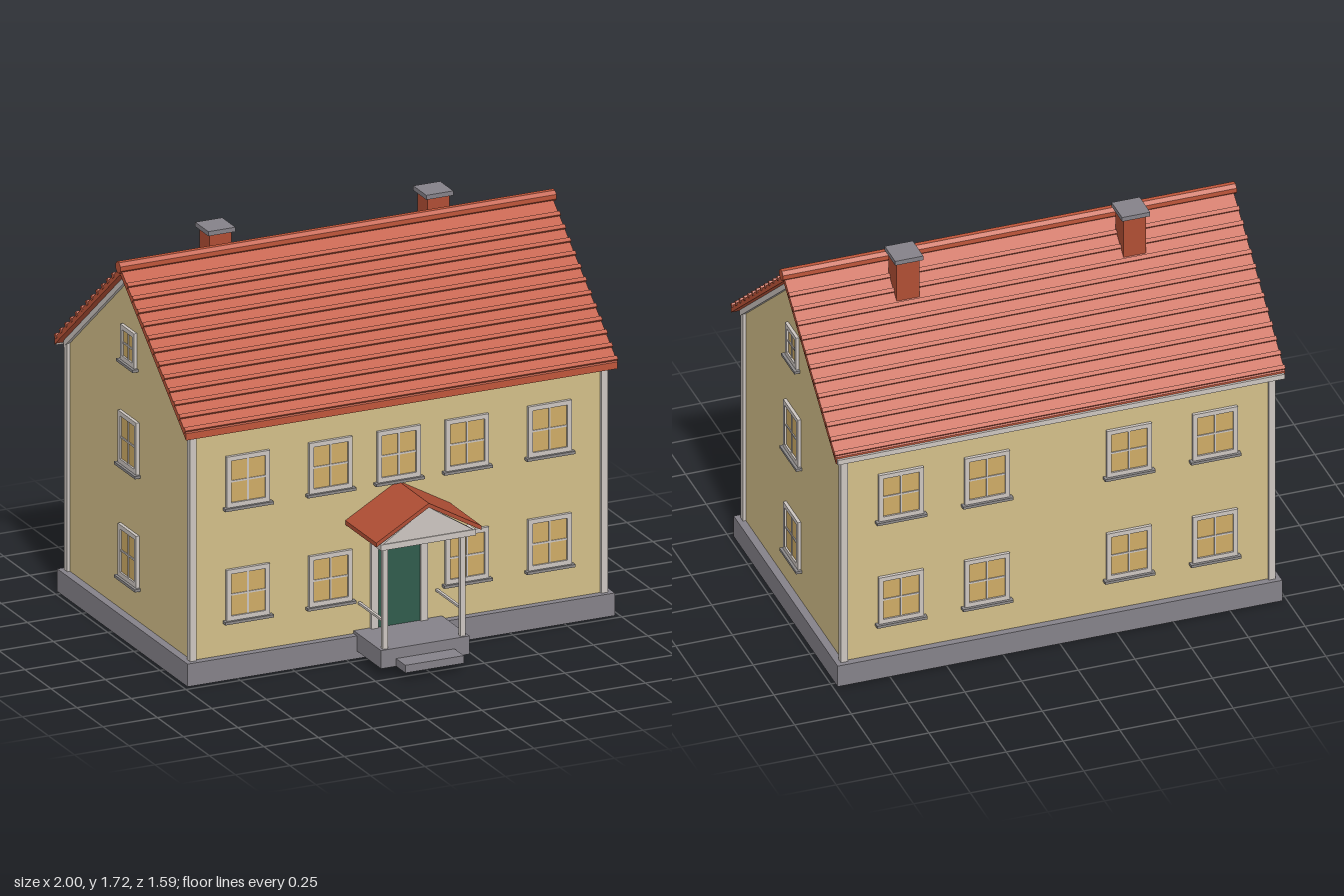
import * as THREE from 'three';

const mat = (name, color) => {
  const m = new THREE.MeshStandardMaterial({ color });
  m.name = name;
  return m;
};

export function createModel() {
  const plaster = mat('yellow plaster', 0xd3bf89);
  const trim = mat('pale trim', 0xcdc6c1);
  const tile = mat('red tile', 0xc0563a);
  const brick = mat('red brick', 0xb04e34);
  const stone = mat('grey stone', 0x858289);
  const sillGrey = mat('grey sill', 0x8c8989);
  const glass = mat('amber glass', 0xcfac66);
  const doorGreen = mat('green door', 0x305c4c);

  const model = new THREE.Group();
  model.name = 'house';

  const add = (parent, name, geometry, material, x = 0, y = 0, z = 0) => {
    const mesh = new THREE.Mesh(geometry, material);
    mesh.name = name;
    mesh.position.set(x, y, z);
    parent.add(mesh);
    return mesh;
  };
  // Box given by its extents on each axis
  const box = (parent, name, material, x0, x1, y0, y1, z0, z1) =>
    add(parent, name, new THREE.BoxGeometry(x1 - x0, y1 - y0, z1 - z0), material,
      (x0 + x1) / 2, (y0 + y1) / 2, (z0 + z1) / 2);
  // Symmetric outline extruded along z and centred on it
  const prism = (points, length) => {
    const shape = new THREE.Shape(points.map(([x, y]) => new THREE.Vector2(x, y)));
    return new THREE.ExtrudeGeometry(shape, { depth: length, bevelEnabled: false })
      .translate(0, 0, -length / 2);
  };
  // Inverted V of constant thickness, for roofs and gable boards
  const chevron = (half, apex, slope, thick, length) => prism([
    [-half, apex - slope * half - thick], [0, apex - thick], [half, apex - slope * half - thick],
    [half, apex - slope * half], [0, apex], [-half, apex - slope * half],
  ], length);

  // Main body, centred on the ridge line
  const body = new THREE.Group();
  body.name = 'body';
  body.position.z = -0.153;
  model.add(body);
  const slope = 0.824;
  const ridgeY = 1.642;
  const wallX = 0.945;
  const wallZ = 0.595;

  box(body, 'foundation', stone, -0.98, 0.98, 0, 0.1, -0.627, 0.627);
  const wallTop = 1.61 - slope * wallZ;
  add(body, 'walls', prism([[-wallZ, 0.1], [wallZ, 0.1], [wallZ, wallTop], [0, 1.61], [-wallZ, wallTop]],
    wallX * 2), plaster).rotation.y = Math.PI / 2;

  for (const sx of [-1, 1]) {
    for (const sz of [-1, 1]) {
      add(body, 'cornerBoard', new THREE.BoxGeometry(0.03, 1.01, 0.03), trim, sx * 0.943, 0.605, sz * 0.591);
    }
    add(body, 'gableBoard', chevron(0.61, 1.613, slope, 0.03, 0.02), trim, sx * 0.95).rotation.y = Math.PI / 2;
  }

  // Roof with raised tile courses
  add(body, 'roof', chevron(0.632, ridgeY, slope, 0.03, 1.98), tile).rotation.y = Math.PI / 2;
  const angle = Math.atan(slope);
  const course = new THREE.BoxGeometry(1.985, 0.02, 0.018);
  for (const side of [-1, 1]) {
    for (let i = 0; i < 12; i++) {
      const d = 0.07 + i * 0.05;
      add(body, 'tileCourse', course, tile, 0, ridgeY - slope * d + 0.001, side * d).rotation.x = side * angle;
    }
  }
  const cap = add(body, 'ridgeCap', new THREE.CylinderGeometry(0.026, 0.026, 2, 8).rotateY(Math.PI / 8), tile, 0, 1.645, 0);
  cap.geometry = cap.geometry.toNonIndexed();
  cap.geometry.computeVertexNormals();
  cap.rotation.z = Math.PI / 2;
  box(body, 'rearFascia', trim, -0.985, 0.985, 1.09, 1.113, -0.643, -0.625);

  // Chimneys
  for (const x of [-0.502, 0.498]) {
    box(model, 'chimney', brick, x - 0.05, x + 0.05, 1.48, 1.7, -0.31, -0.212);
    box(model, 'chimneyCap', stone, x - 0.062, x + 0.062, 1.698, 1.718, -0.325, -0.198);
  }

  // Window facing +z, with its sill at the bottom
  const makeWindow = (w, h) => {
    const g = new THREE.Group();
    g.name = 'window';
    const hw = w / 2;
    const hh = h / 2;
    const f = 0.02;
    box(g, 'glass', glass, -hw + f, hw - f, -hh + f, hh - f, 0, 0.006);
    for (const s of [-1, 1]) {
      add(g, 'frameSide', new THREE.BoxGeometry(f, h, 0.014), trim, s * (hw - f / 2), 0, 0.007);
      add(g, 'frameRail', new THREE.BoxGeometry(w - 2 * f, f, 0.014), trim, 0, s * (hh - f / 2), 0.007);
    }
    box(g, 'verticalBar', trim, -0.004, 0.004, -hh + f, hh - f, 0.004, 0.01);
    box(g, 'horizontalBar', trim, -hw + f, hw - f, -0.004, 0.004, 0.004, 0.01);
    box(g, 'sill', sillGrey, -hw - 0.012, hw + 0.012, -hh - 0.012, -hh, 0, 0.026);
    return g;
  };
  const placeWindow = (w, h, x, y, z, turn) => {
    const g = makeWindow(w, h);
    g.position.set(x, y, z);
    g.rotation.y = turn;
    body.add(g);
  };
  for (const y of [0.865, 0.365]) {
    for (const x of [-0.692, -0.313, 0.313, 0.692]) {
      placeWindow(0.198, 0.225, x, y, wallZ, 0);
      placeWindow(0.198, 0.225, x, y, -wallZ, Math.PI);
    }
  }
  placeWindow(0.198, 0.225, 0, 0.865, wallZ, 0);
  for (const s of [-1, 1]) {
    for (const y of [0.865, 0.365]) placeWindow(0.178, 0.23, s * wallX, y, 0, s * Math.PI / 2);
    placeWindow(0.135, 0.155, s * wallX, 1.29, 0, s * Math.PI / 2);
  }

  // Entrance door
  const porch = new THREE.Group();
  porch.name = 'porch';
  model.add(porch);
  box(porch, 'door', doorGreen, -0.098, 0.098, 0.11, 0.49, 0.44, 0.45);
  for (const s of [-1, 1]) {
    add(porch, 'doorJamb', new THREE.BoxGeometry(0.032, 0.41, 0.02), trim, s * 0.113, 0.315, 0.45);
  }
  box(porch, 'doorLintel', trim, -0.097, 0.097, 0.49, 0.52, 0.44, 0.46);

  // Porch platform, step, posts and rails
  box(porch, 'platform', stone, -0.203, 0.203, 0.033, 0.113, 0.44, 0.706);
  box(porch, 'step', stone, -0.134, 0.134, 0.033, 0.067, 0.70, 0.795);
  for (const s of [-1, 1]) {
    add(porch, 'post', new THREE.BoxGeometry(0.022, 0.475, 0.022), trim, s * 0.178, 0.35, 0.685);
    add(porch, 'handrail', new THREE.BoxGeometry(0.012, 0.01, 0.235), trim, s * 0.178, 0.232, 0.56);
  }

  // Porch gable roof
  box(porch, 'porchBeam', trim, -0.218, 0.218, 0.566, 0.592, 0.672, 0.737);
  add(porch, 'pediment', prism([[-0.21, 0.59], [0.21, 0.59], [0, 0.724]], 0.025), trim, 0, 0, 0.72);
  add(porch, 'porchRoof', chevron(0.241, 0.743, 0.57, 0.019, 0.3), brick, 0, 0, 0.59);

  return model;
}
